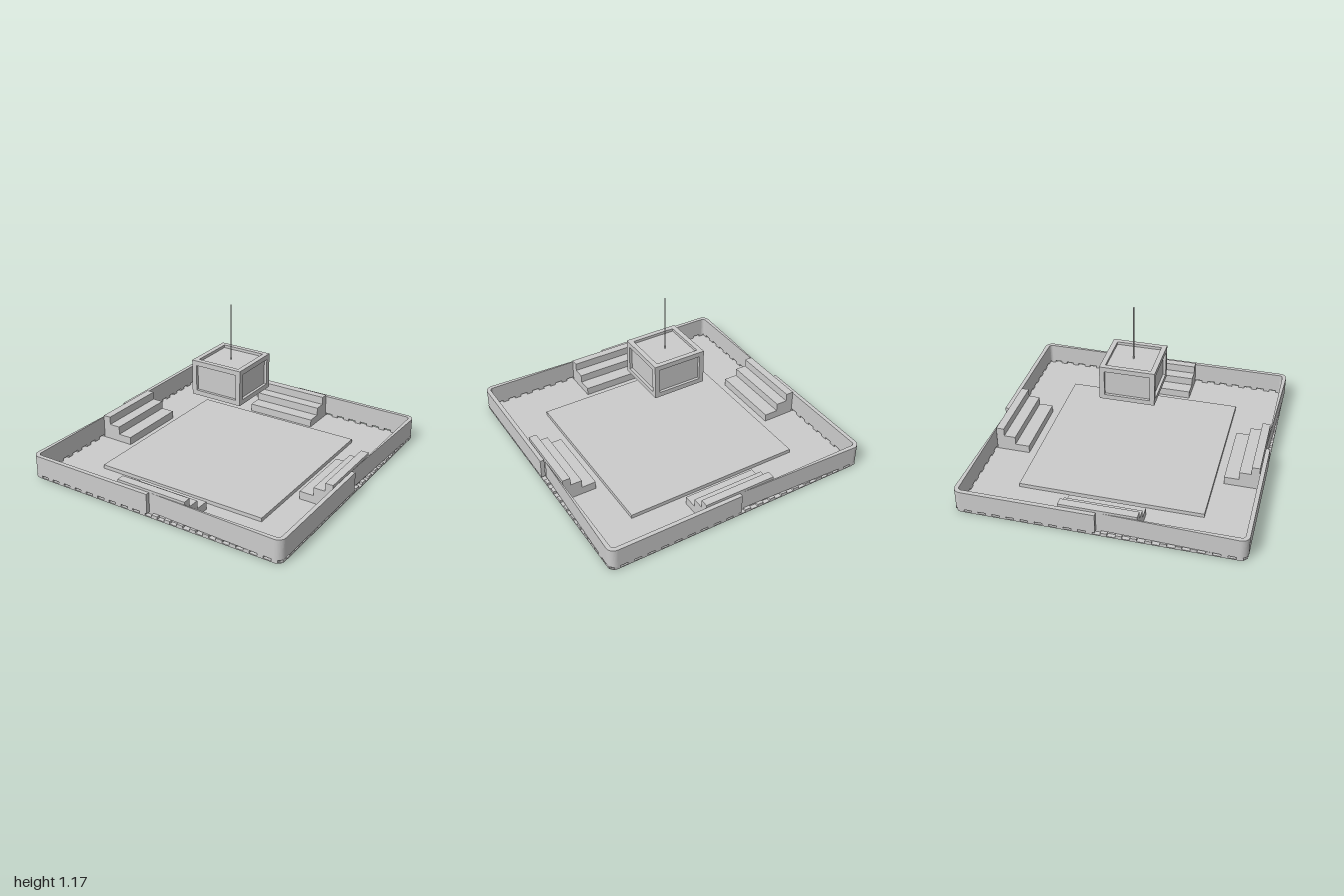
import * as THREE from 'three';

const material = new THREE.MeshStandardMaterial({ color: 0xcccccc, flatShading: true });

function add(parent, name, geometry, x = 0, y = 0, z = 0) {
  const mesh = new THREE.Mesh(geometry, material);
  mesh.name = name;
  mesh.position.set(x, y, z);
  parent.add(mesh);
  return mesh;
}

const box = (parent, name, w, h, d, x, y, z) =>
  add(parent, name, new THREE.BoxGeometry(w, h, d), x, y, z);

// Extrudes a ground-plan shape upwards from y = 0
function slab(shape, height) {
  const geometry = new THREE.ExtrudeGeometry(shape, { depth: height, bevelEnabled: false, curveSegments: 6 });
  return geometry.rotateX(-Math.PI / 2);
}

function roundedSquare(s, r) {
  const shape = new THREE.Shape();
  shape.absarc(s - r, s - r, r, 0, Math.PI / 2);
  shape.absarc(r - s, s - r, r, Math.PI / 2, Math.PI);
  shape.absarc(r - s, r - s, r, Math.PI, Math.PI * 1.5);
  shape.absarc(s - r, r - s, r, Math.PI * 1.5, Math.PI * 2);
  shape.closePath();
  return shape;
}

// L-shaped wall piece round one corner, stopping short of the mid-side gaps
function wallCorner() {
  const gap = 0.008, outer = 1, inner = 0.97, r = 0.055, ri = 0.025;
  const shape = new THREE.Shape();
  shape.moveTo(outer, gap);
  shape.absarc(outer - r, outer - r, r, 0, Math.PI / 2);
  shape.lineTo(gap, outer);
  shape.lineTo(gap, inner);
  shape.absarc(inner - ri, inner - ri, ri, Math.PI / 2, 0, true);
  shape.lineTo(inner, gap);
  shape.closePath();
  return slab(shape, 0.145);
}

// Three-step stand, rising towards the wall at +z
function bleacher() {
  const profile = new THREE.Shape();
  const points = [[0.72, 0.01], [0.965, 0.01], [0.965, 0.19], [0.907, 0.19],
    [0.907, 0.13], [0.823, 0.13], [0.823, 0.07], [0.72, 0.07]];
  profile.setFromPoints(points.map(([a, b]) => new THREE.Vector2(a, b)));
  const geometry = new THREE.ExtrudeGeometry(profile, { depth: 0.54, bevelEnabled: false });
  return geometry.rotateY(-Math.PI / 2).translate(0.27, 0, 0);
}

// Hanging cube with a raised frame round each recessed screen
function scoreboard() {
  const group = new THREE.Group();
  group.name = 'scoreboard';
  const half = 0.195, w = 0.035, h = 0.255, mid = 0.6625;
  const c = half - w / 2, span = 2 * (half - w);
  box(group, 'screens', 0.35, h - 0.04, 0.35, 0, mid, 0);
  for (const a of [-1, 1]) {
    for (const b of [-1, 1]) {
      box(group, 'framePost', w, h, w, a * c, mid, b * c);
      const y = mid + b * (h - w) / 2;
      box(group, 'frameRail', span, w, w, 0, y, a * c);
      box(group, 'frameRail', w, w, span, a * c, y, 0);
    }
  }
  add(group, 'cable', new THREE.CylinderGeometry(0.004, 0.004, 0.41, 8), 0, 0.97, 0);
  return group;
}

export function createModel() {
  const model = new THREE.Group();
  model.name = 'arena';

  // Ground and raised court
  add(model, 'floor', slab(roundedSquare(0.995, 0.05), 0.008), 0, 0.004, 0);
  box(model, 'court', 1.31, 0.04, 1.31, 0, 0.02, 0);

  // Each quarter turn repeats a wall corner, a stand and a row of wall feet
  const corner = wallCorner(), stand = bleacher();
  for (let i = 0; i < 4; i++) {
    const side = new THREE.Group();
    side.name = 'side' + (i + 1);
    side.rotation.y = i * Math.PI / 2;
    add(side, 'wall', corner, 0, 0.03, 0);
    add(side, 'bleacher', stand);
    for (let k = 0; k < 20; k++) {
      box(side, 'wallFoot', 0.045, 0.022, 0.024, -0.95 + k * 0.1, 0.02, 0.984);
    }
    model.add(side);
  }

  model.add(scoreboard());
  return model;
}
